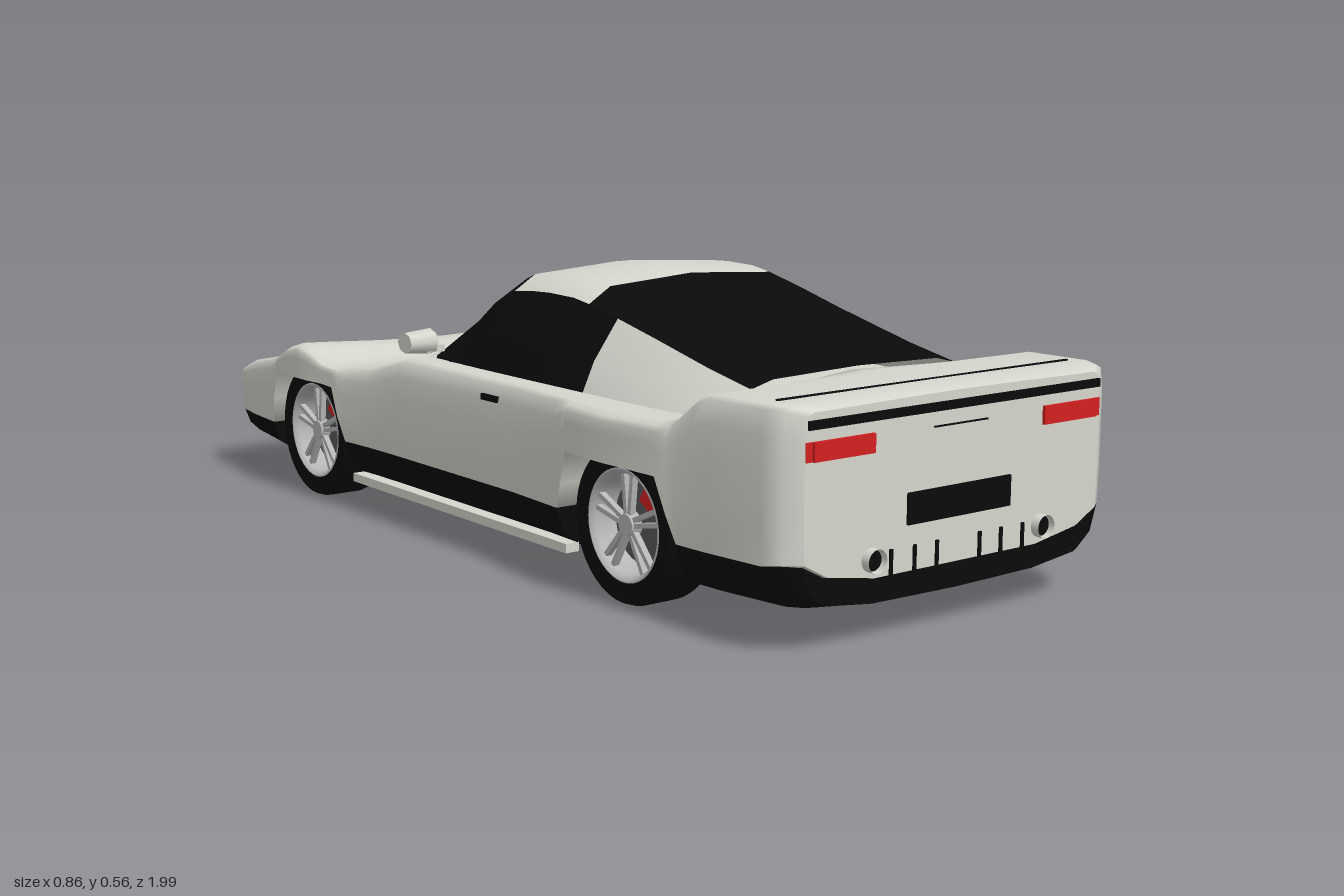
import * as THREE from 'three';

const mat = (name, color, double) => {
  const m = new THREE.MeshStandardMaterial({ color });
  m.name = name;
  if (double) m.side = THREE.DoubleSide;
  return m;
};

export function createModel() {
  const car = new THREE.Group();
  car.name = 'sportsCar';
  const paint = mat('paleGreyPaint', 0xd6d6ce, true);
  const black = mat('blackTrim', 0x0a0a0a, true);
  const red = mat('redLamp', 0xd42020);
  const silver = mat('silverRim', 0xb4b6b8, true);
  const steel = mat('darkSteel', 0x55585c);

  const add = (name, geo, material, parent = car) => {
    const m = new THREE.Mesh(geo, material);
    m.name = name;
    parent.add(m);
    return m;
  };
  const box = (name, material, [w, h, d], [x, y, z], parent) => {
    const m = add(name, new THREE.BoxGeometry(w, h, d), material, parent);
    m.position.set(x, y, z);
    return m;
  };
  // Skin over a row of cross-sections
  const skin = (sections) => {
    const n = sections[0].length, idx = [];
    for (let i = 0; i < sections.length - 1; i++)
      for (let j = 0; j < n - 1; j++) {
        const a = i * n + j, c = a + n;
        idx.push(a, a + 1, c, a + 1, c + 1, c);
      }
    const g = new THREE.BufferGeometry();
    g.setAttribute('position', new THREE.Float32BufferAttribute(sections.flat(2), 3));
    g.setIndex(idx);
    g.computeVertexNormals();
    return g;
  };
  // Flat end over one section
  const cap = (s, y, front) => {
    const hub = s.map((p) => [0, y, p[2]]);
    return skin(front ? [s, hub] : [hub, s]);
  };
  // Half section, outer point first and centre last, mirrored to a whole one
  const whole = (half, z, sign = 1) => [
    ...half.map(([x, y]) => [sign * x, y, z]),
    ...half.slice(0, -1).reverse().map(([x, y]) => [-sign * x, y, z])];

  // Body stations: z, half width, lower edge, shoulder, centre height
  const front = [
    [-1, .325, .135, .2, .215], [-.985, .35, .135, .225, .232], [-.95, .375, .14, .243, .245],
    [-.88, .388, .14, .265, .268], [-.76, .4, .14, .288, .288], [-.735, .405, .2, .293, .293],
    [-.715, .407, .262, .297, .297], [-.66, .415, .265, .325, .315], [-.6, .42, .265, .34, .32],
    [-.55, .42, .265, .332, .318], [-.5, .415, .265, .312, .308], [-.46, .412, .262, .308, .307],
    [-.44, .41, .2, .308, .308], [-.42, .408, .15, .309, .31], [-.33, .402, .15, .318, .32],
    [-.25, .4, .15, .338, .342], [-.2, .4, .15, .352, .36]];
  const rear = [
    [-.1, .4, .15, .355, .345], [.2, .4, .15, .355, .345], [.36, .41, .15, .355, .345],
    [.38, .412, .2, .355, .345], [.4, .415, .262, .355, .345], [.53, .428, .265, .355, .345],
    [.66, .415, .262, .356, .35], [.685, .41, .2, .358, .37], [.705, .407, .15, .37, .412],
    [.75, .405, .15, .405, .418], [.78, .403, .15, .418, .42], [.92, .4, .155, .42, .421],
    [.955, .385, .16, .418, .42], [.975, .355, .16, .41, .414]];
  const stations = [...front, ...rear];
  const tuck = (y) => (y < .2 ? 1 - .09 * ((.2 - y) / .14) ** 2 : 1);

  // Painted upper body
  const upper = stations.map(([z, w, ys, sh, c]) => {
    const side = [0, .3, .6, .82].map((t) => {
      const y = ys + (sh - ys) * t;
      return [w * tuck(y), y];
    });
    return whole([...side, [w * .985, sh - .007], [w * .95, sh],
      [w * .8, sh + (c - sh) * .15], [w * .45, sh + (c - sh) * .6], [0, c]], z);
  });
  add('bodyShell', skin(upper), paint);
  const under = stations.map(([z, w, ys]) => {
    const drop = z > .9 ? .045 : 0;
    return whole([[w * tuck(ys), ys], [w * .85, ys - drop * .6], [w * .55, ys - drop], [0, ys - drop]], z, -1);
  });
  add('bodyUnderside', skin(under), paint);
  const last = stations.length - 1;
  add('tailPanel', cap([...upper[last], ...under[last]], .28, true), paint);
  add('nosePanel', cap([...upper[0], ...under[0]], .17, false), paint);

  // Black lower body in three lengths between the wheels
  const lowY = (z) => z > .7 ? .058 + .012 * ((z - .7) / .27) ** 2
    : z < -.75 ? .06 + .035 * ((-z - .76) / .24) ** 2 : .06;
  for (const [name, z0, z1] of [['rearValance', .7, 1], ['floorAndSills', -.425, .365], ['frontValance', -1, -.755]]) {
    const secs = stations.filter((s) => s[0] >= z0 && s[0] <= z1).map(([z, w, ys]) => {
      const b = lowY(z), h = ys - b;
      return whole([[w * tuck(ys), ys], [w * .95, b + h * .45], [w * .86, b + h * .15],
        [w * .55, b], [0, b - .003]], THREE.MathUtils.clamp(z, -.996, .97), -1);
    });
    add(name, skin(secs), black);
    add(name + 'FrontEnd', cap(secs[secs.length - 1], .1, true), black);
    add(name + 'BackEnd', cap(secs[0], .1, false), black);
  }

  // Cabin stations: z, roof height
  const cabin = [[-.26, .343], [-.2, .385], [-.13, .452], [-.07, .506], [-.03, .532], [0, .545], [.06, .553], [.12, .556],
    [.2, .554], [.25, .545], [.34, .523], [.45, .493], [.6, .45], [.72, .421]].map(([z, y]) => {
    const k = Math.max(0, y - .335) / .22, e = y - .045 * k;
    return whole([[.34, .335], [.305, .335 + (e - .335) * .5], [.25, e], [.2, y - .013 * k], [0, y]], z);
  });
  const part = (name, i0, i1, j0, j1, m) =>
    add(name, skin(cabin.slice(i0, i1 + 1).map((s) => s.slice(j0, j1 + 1))), m);
  part('windshield', 0, 5, 2, 6, black);
  part('roof', 5, 9, 2, 6, paint);
  part('rearWindow', 9, 13, 2, 6, black);
  for (const [side, j] of [['left', 0], ['right', 6]]) {
    part(side + 'CowlCorner', 0, 1, j, j + 2, paint);
    part(side + 'SideWindow', 1, 10, j, j + 2, black);
    part(side + 'QuarterPanel', 10, 13, j, j + 2, paint);
  }

  // Wheel, outer face towards +x
  const wheel = (s, z) => {
    const g = new THREE.Group();
    g.name = (s > 0 ? 'left' : 'right') + (z > 0 ? 'Rear' : 'Front') + 'Wheel';
    const lathe = (pts) => new THREE.LatheGeometry(pts.map((p) => new THREE.Vector2(...p)), 40).rotateZ(-Math.PI / 2);
    add('tyre', lathe([[.1, -.048], [.132, -.053], [.142, -.048], [.146, -.036], [.146, .036],
      [.142, .048], [.132, .053], [.1, .048]]), black, g);
    add('rim', lathe([[.1, -.048], [.093, -.04], [.09, 0], [.093, .04], [.1, .05], [.104, .049]]), silver, g);
    const disc = add('brakeDisc', new THREE.CylinderGeometry(.078, .078, .012, 32), steel, g);
    disc.rotation.z = Math.PI / 2;
    for (let i = 0; i < 5; i++) {
      const a = (i / 5) * Math.PI * 2;
      for (const o of [-.009, .009]) {
        const arm = new THREE.Group();
        arm.name = 'spoke';
        arm.rotation.x = a;
        g.add(arm);
        box('spokeBar', silver, [.012, .078, .009], [.034, .055, o], arm).rotation.x = o * 12;
      }
    }
    const hub = add('hub', new THREE.CylinderGeometry(.02, .024, .02, 20), silver, g);
    hub.rotation.z = -Math.PI / 2;
    hub.position.x = .034;
    box('brakeCaliper', red, [.02, .034, .03], [.014, .052, s * .036], g).rotation.x = s * .6;
    g.position.set(s * .333, .146, z);
    if (s < 0) g.rotation.y = Math.PI;
    car.add(g);
  };

  // Parts on both sides
  for (const s of [1, -1]) {
    for (const z of [.53, -.59]) {
      wheel(s, z);
      box('wheelWellLiner', black, [.008, .15, .3], [s * .27, .192, z]);
    }
    box('sillStrip', paint, [.03, .018, .78], [s * .37, .07, -.03]);
    box('doorHandle', black, [.008, .012, .055], [s * .4, .322, .135]);
    box('mirrorStalk', paint, [.04, .014, .025], [s * .345, .378, -.155]);
    const mirror = add('mirror', new THREE.CylinderGeometry(.021, .026, .06, 8), paint);
    mirror.rotation.z = -s * Math.PI / 2;
    mirror.scale.z = 1.25;
    mirror.position.set(s * .377, .392, -.163);

    // Lamps, exhausts and hood panel gaps
    box('tailLamp', red, [.135, .033, .009], [s * .272, .346, .977]);
    box('lampCorner', red, [.016, .033, .02], [s * .346, .346, .966]);
    const pipe = add('exhaust', new THREE.CylinderGeometry(.021, .021, .035, 24, 1, true), paint);
    pipe.rotation.x = Math.PI / 2;
    pipe.position.set(s * .205, .148, .975);
    const bore = add('exhaustBore', new THREE.CircleGeometry(.018, 24), black);
    bore.position.set(s * .205, .148, .982);
    box('headlampCoverRear', black, [.13, .006, .007], [s * .262, .278, -.81]);
    box('headlampCoverFront', black, [.13, .006, .006], [s * .262, .243, -.955]);
    box('noseMarker', black, [.09, .005, .006], [s * .245, .19, -.999]);
    for (const x of [.052, .105, .16])
      box('diffuserSlot', black, [.006, .045, .006], [s * x, .137, .976]);
  }

  // Tail and nose details
  box('tailStripe', black, [.7, .015, .008], [0, .39, .976]);
  box('tailSeam', black, [.13, .003, .004], [0, .356, .975]);
  box('tailPlate', black, [.248, .055, .008], [0, .223, .976]);
  box('deckGap', black, [.7, .005, .006], [0, .42, .9]);
  box('noseGrille', black, [.36, .018, .006], [0, .15, -.999]);
  return car;
}
